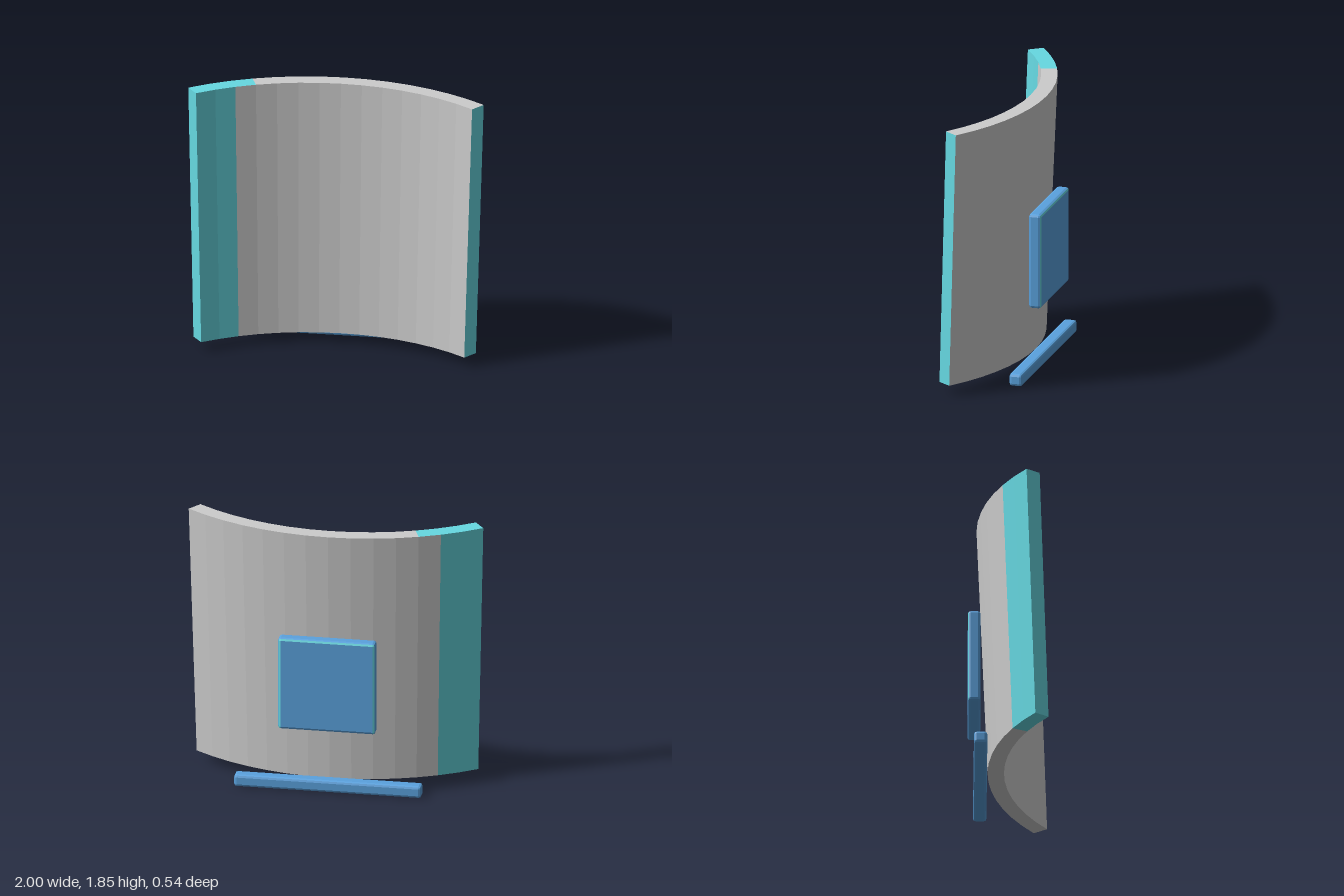
import * as THREE from 'three';
import { RoundedBoxGeometry } from 'three/addons/geometries/RoundedBoxGeometry.js';

const material = (color) => new THREE.MeshStandardMaterial({ color, flatShading: true });
const grey = material(0xcccccc);
const teal = material(0x66d9e2);
const blue = material(0x5aa2de);

// Mesh from a list of four-cornered faces (corners counter-clockwise)
function quadMesh(name, quads, mat) {
  const pos = [];
  for (const [a, b, c, d] of quads) {
    for (const p of [a, b, c, a, c, d]) pos.push(...p);
  }
  const geo = new THREE.BufferGeometry();
  geo.setAttribute('position', new THREE.Float32BufferAttribute(pos, 3));
  geo.computeVertexNormals();
  const mesh = new THREE.Mesh(geo, mat);
  mesh.name = name;
  return mesh;
}

// Curved, slightly flared panel: a sector of a thick conical shell
function createPanel() {
  const segments = 14;
  const half = THREE.MathUtils.degToRad(36.5);
  const centreZ = 1.471;
  const ring = (radius, y) => Array.from({ length: segments + 1 }, (_, i) => {
    const t = -half + (2 * half * i) / segments;
    return [radius * Math.sin(t), y, centreZ - radius * Math.cos(t)];
  });
  const outerTop = ring(1.681, 1.85);
  const innerTop = ring(1.571, 1.85);
  const outerLow = ring(1.607, 0.07);
  const innerLow = ring(1.497, 0.07);

  const plain = [];
  const tinted = [];
  for (let i = 0; i < segments; i++) {
    const j = i + 1;
    const wall = i < 2 ? tinted : plain;
    const cap = i < 3 ? tinted : plain;
    wall.push([innerLow[i], innerLow[j], innerTop[j], innerTop[i]]);
    wall.push([outerLow[j], outerLow[i], outerTop[i], outerTop[j]]);
    wall.push([outerLow[i], outerLow[j], innerLow[j], innerLow[i]]);
    cap.push([innerTop[i], innerTop[j], outerTop[j], outerTop[i]]);
  }
  // End faces
  const n = segments;
  tinted.push([outerLow[0], innerLow[0], innerTop[0], outerTop[0]]);
  tinted.push([innerLow[n], outerLow[n], outerTop[n], innerTop[n]]);

  const panel = new THREE.Group();
  panel.name = 'curvedPanel';
  panel.add(quadMesh('panelShell', plain, grey), quadMesh('panelTintedEdges', tinted, teal));
  return panel;
}

// Box with narrow bevelled edges
function bevelBox(name, size, position, mat) {
  const mesh = new THREE.Mesh(new RoundedBoxGeometry(...size, 1, 0.018), mat);
  mesh.name = name;
  mesh.position.set(...position);
  return mesh;
}

// Give the rear top and side bevels of the plate the trim colour
function tintRearBevels(mesh) {
  const geo = mesh.geometry;
  const pos = geo.attributes.position;
  const tri = new THREE.Triangle();
  const normal = new THREE.Vector3();
  geo.clearGroups();
  for (let i = 0; i < pos.count; i += 3) {
    tri.setFromAttributeAndIndices(pos, i, i + 1, i + 2);
    tri.getNormal(normal);
    const rear = normal.z < -0.6 && normal.z > -0.98;
    const trim = rear && (normal.y > 0.1 || Math.abs(normal.x) > 0.1);
    geo.addGroup(i, 3, trim ? 1 : 0);
  }
  mesh.material = [blue, teal];
}

export function createModel() {
  const model = new THREE.Group();
  model.name = 'curvedScreen';
  model.add(createPanel());

  // Square plate behind the panel
  const plate = bevelBox('rearPlate', [0.66, 0.66, 0.085], [0, 0.787, -0.226], blue);
  tintRearBevels(plate);
  model.add(plate);

  // Long foot bar under the panel
  model.add(bevelBox('footBar', [1.27, 0.085, 0.09], [0, 0.0425, -0.185], blue));
  return model;
}
